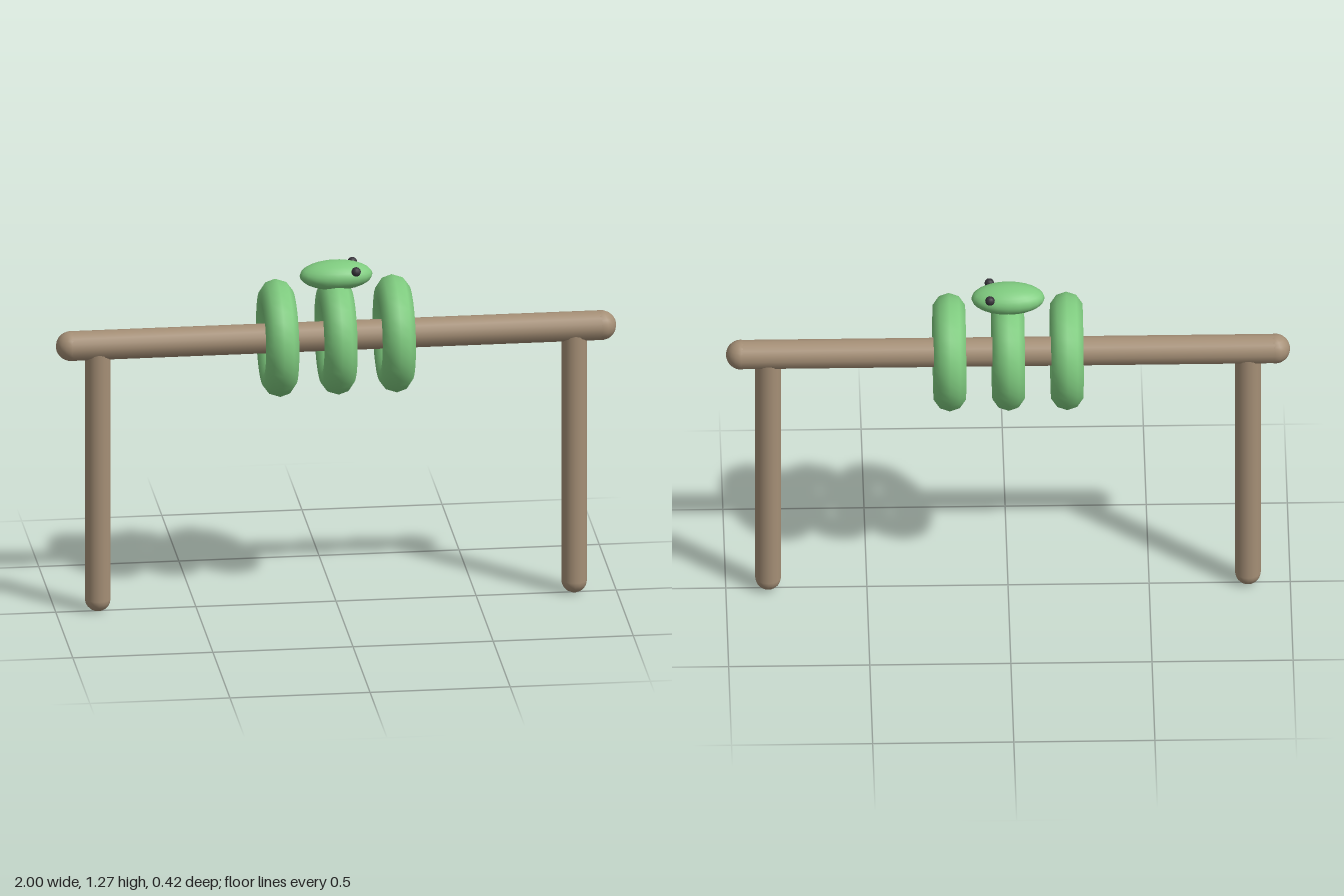
import * as THREE from 'three';

export function createModel() {
  const model = new THREE.Group();
  const wood = new THREE.MeshStandardMaterial({ color: 0xa58f76 });
  wood.name = 'wood brown';
  const green = new THREE.MeshStandardMaterial({ color: 0x7fcb7f });
  green.name = 'snake green';
  const dark = new THREE.MeshStandardMaterial({ color: 0x37333a });
  dark.name = 'eye dark';

  const add = (name, geometry, material, x, y, z = 0) => {
    const mesh = new THREE.Mesh(geometry, material);
    mesh.name = name;
    mesh.position.set(x, y, z);
    model.add(mesh);
    return mesh;
  };

  const barY = 0.995, barR = 0.053, legR = 0.046;

  // Horizontal perch with rounded ends
  const bar = add('perchBar', new THREE.CylinderGeometry(barR, barR, 1.894, 16, 1, true), wood, 0, barY);
  bar.rotation.z = Math.PI / 2;

  for (const side of [-1, 1]) {
    const label = side > 0 ? 'left' : 'right';
    add(label + 'BarEnd', new THREE.SphereGeometry(barR, 16, 10), wood, side * 0.947, barY);

    // Upright leg with a rounded foot
    const top = barY - 0.02;
    add(label + 'Leg', new THREE.CylinderGeometry(legR, legR, top - legR, 16), wood, side * 0.85, (top + legR) / 2);
    add(label + 'Foot', new THREE.SphereGeometry(legR, 16, 10), wood, side * 0.85, legR);

    // Eyes on both sides of the head
    add(side > 0 ? 'frontEye' : 'backEye', new THREE.SphereGeometry(0.017, 12, 8), dark, 0.065, 1.25, side * 0.057);
  }

  // Snake body coiled around the perch
  for (const x of [-0.208, 0, 0.208]) {
    const coil = add('coil', new THREE.TorusGeometry(0.15, 0.06, 10, 32), green, x, barY);
    coil.rotation.y = Math.PI / 2;
  }

  // Flattened oval head
  add('head', new THREE.SphereGeometry(1, 20, 14).scale(0.13, 0.052, 0.073), green, 0, 1.223);

  return model;
}
